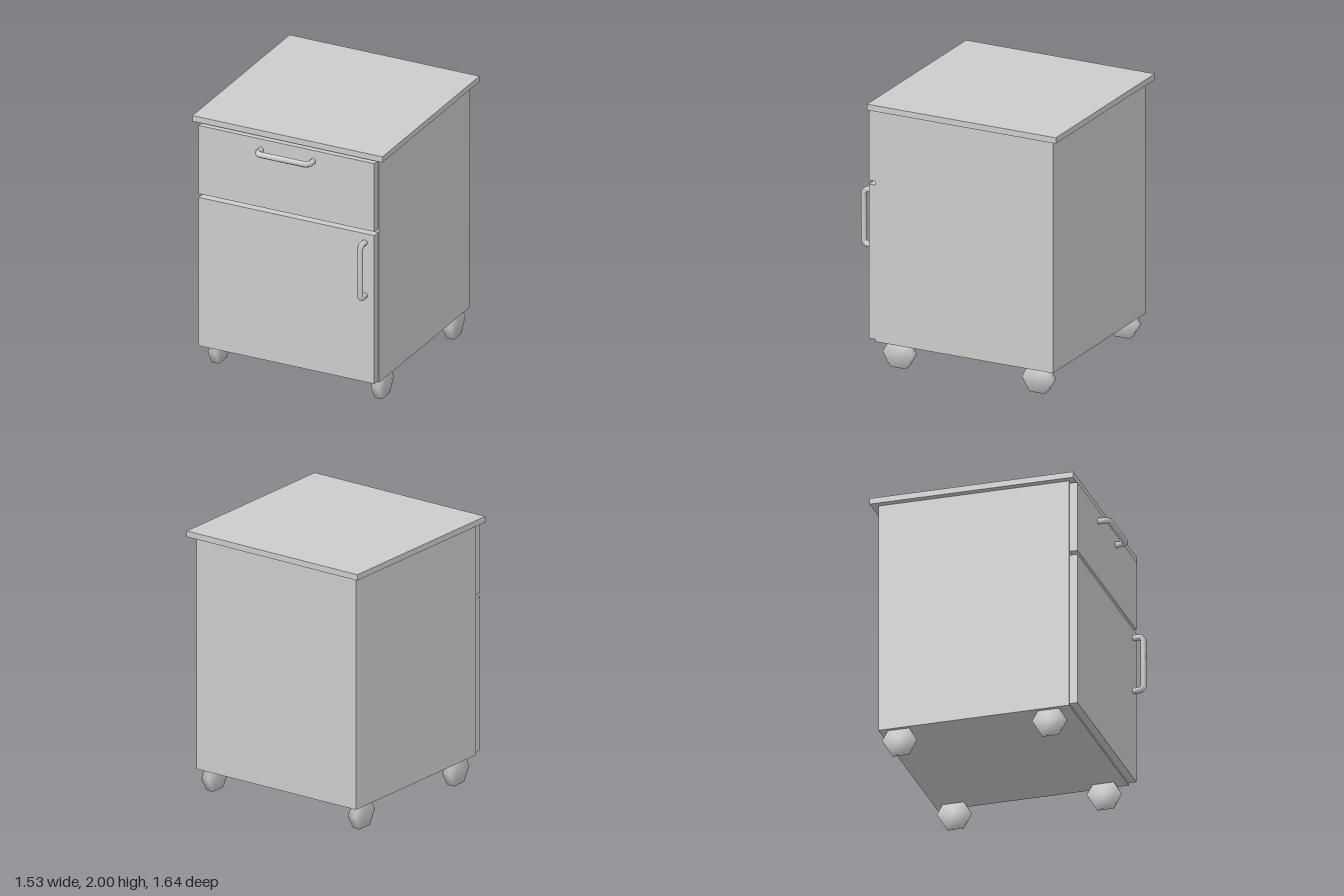
import * as THREE from 'three';
import { mergeVertices } from 'three/addons/utils/BufferGeometryUtils.js';

const material = new THREE.MeshStandardMaterial({ color: 0xcccccc });

// Box given by its limits on each axis
function box(name, x, y, z) {
  const geometry = new THREE.BoxGeometry(x[1] - x[0], y[1] - y[0], z[1] - z[0]);
  const mesh = new THREE.Mesh(geometry, material);
  mesh.name = name;
  mesh.position.set((x[0] + x[1]) / 2, (y[0] + y[1]) / 2, (z[0] + z[1]) / 2);
  return mesh;
}

// Hexagonal bar swept with mitred joints along a chamfered U in the xz plane
function handleGeometry() {
  const half = [[0.2095, -0.005], [0.2095, 0.0545], [0.187, 0.077]];
  const path = [...half.map(([x, z]) => [-x, z]), ...half.slice().reverse()]
    .map(([x, z]) => new THREE.Vector2(x, z));
  const sides = 6, depth = 0.018, width = 0.025;
  const positions = [], indices = [];
  path.forEach((p, i) => {
    const before = p.clone().sub(path[Math.max(i - 1, 0)]).normalize();
    const after = path[Math.min(i + 1, path.length - 1)].clone().sub(p).normalize();
    const tangent = before.clone().add(after).normalize();
    const joint = i > 0 && i < path.length - 1;
    const miter = joint ? 1 / tangent.dot(before) : 1;
    for (let k = 0; k < sides; k++) {
      const a = (k / sides) * Math.PI * 2;
      const out = Math.sin(a) / Math.sin(Math.PI / 3) * depth * miter;
      positions.push(p.x - tangent.y * out, Math.cos(a) * width, p.y + tangent.x * out);
      if (i > 0) {
        const c = i * sides + k, d = i * sides + (k + 1) % sides;
        indices.push(c - sides, c, d - sides, d - sides, c, d);
      }
    }
  });
  const geometry = new THREE.BufferGeometry();
  geometry.setAttribute('position', new THREE.Float32BufferAttribute(positions, 3));
  geometry.setIndex(indices);
  geometry.computeVertexNormals();
  return geometry;
}

// Six-sided wheel with its axle along x and normals smoothed across the rim
function wheelGeometry() {
  const geometry = new THREE.CylinderGeometry(0.123, 0.123, 0.06, 6).rotateZ(Math.PI / 2);
  geometry.deleteAttribute('normal');
  geometry.deleteAttribute('uv');
  const merged = mergeVertices(geometry);
  merged.computeVertexNormals();
  return merged;
}

export function createModel() {
  const group = new THREE.Group();
  group.name = 'cabinet';

  // Carcass, worktop and fronts
  group.add(
    box('body', [-0.715, 0.715], [0.18, 1.955], [-0.77, 0.665]),
    box('worktop', [-0.765, 0.765], [1.955, 2], [-0.82, 0.71]),
    box('drawerFront', [-0.707, 0.707], [1.4, 1.94], [0.665, 0.725]),
    box('door', [-0.707, 0.707], [0.195, 1.37], [0.665, 0.725]),
  );

  // Handles: horizontal on the drawer, vertical on the door
  const bar = handleGeometry();
  const handleMaterial = material.clone();
  handleMaterial.side = THREE.DoubleSide;
  const drawerHandle = new THREE.Mesh(bar, handleMaterial);
  drawerHandle.name = 'drawerHandle';
  drawerHandle.position.set(0.006, 1.855, 0.725);
  const doorHandle = new THREE.Mesh(bar, handleMaterial);
  doorHandle.name = 'doorHandle';
  doorHandle.rotation.z = Math.PI / 2;
  doorHandle.position.set(0.632, 1.091, 0.725);
  group.add(drawerHandle, doorHandle);

  // Four wheels, partly sunk into the underside
  const wheelShape = wheelGeometry();
  for (const [side, x] of [['Left', 0.657], ['Right', -0.657]]) {
    for (const [end, z] of [['front', 0.5], ['back', -0.627]]) {
      const wheel = new THREE.Mesh(wheelShape, material);
      wheel.name = `${end}${side}Wheel`;
      wheel.position.set(x, 0.1065, z);
      group.add(wheel);
    }
  }
  return group;
}
